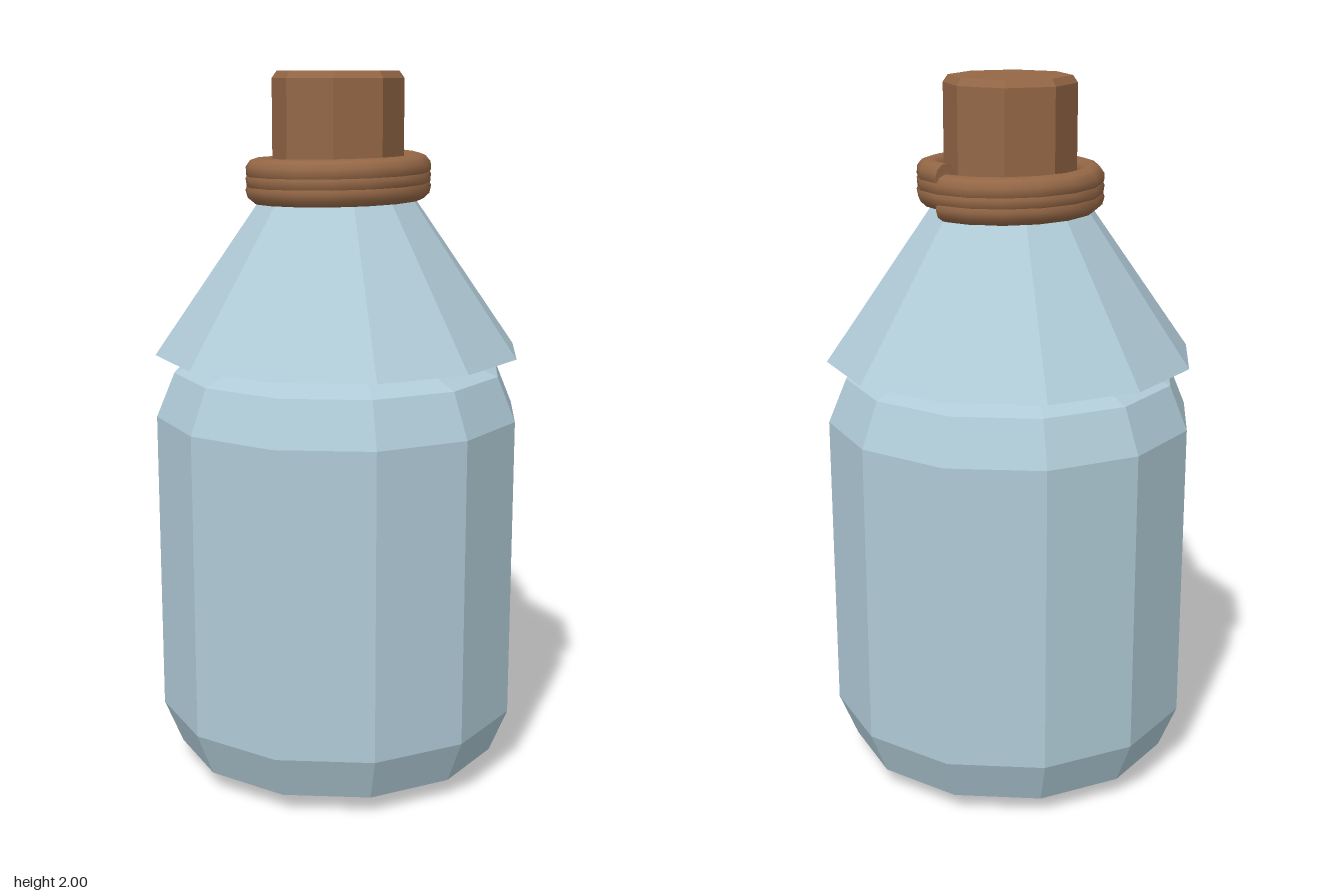
import * as THREE from 'three';

// Faceted solid of revolution from [radius, height] pairs
function facetedLathe(profile, sides) {
  const points = profile.map(([r, y]) => new THREE.Vector2(r, y));
  const geometry = new THREE.LatheGeometry(points, sides).toNonIndexed();
  geometry.computeVertexNormals();
  return geometry;
}

// Cord wound upwards around the neck
class Winding extends THREE.Curve {
  constructor(radius, bottom, top, turns) {
    super();
    Object.assign(this, { radius, bottom, top, turns });
  }
  getPoint(t, target = new THREE.Vector3()) {
    const a = t * this.turns * Math.PI * 2;
    return target.set(
      this.radius * Math.cos(a),
      THREE.MathUtils.lerp(this.bottom, this.top, t),
      -this.radius * Math.sin(a)
    );
  }
}

export function createModel() {
  const group = new THREE.Group();
  const glass = new THREE.MeshStandardMaterial({ color: 0xb0cbd7 });
  glass.name = 'paleBlueGlass';
  const brown = new THREE.MeshStandardMaterial({ color: 0x946746 });
  brown.name = 'brown';

  const add = (name, geometry, material) => {
    const mesh = new THREE.Mesh(geometry, material);
    mesh.name = name;
    group.add(mesh);
    return mesh;
  };

  // Bottle body with bevelled base and top
  add('body', facetedLathe([
    [0, 0], [0.34, 0], [0.47, 0.053], [0.522, 0.18],
    [0.522, 1.045], [0.47, 1.17], [0.34, 1.223], [0, 1.223],
  ], 12), glass);

  // Overhanging conical shoulder
  add('shoulder', facetedLathe([
    [0, 1.222], [0.522, 1.222], [0.19, 1.695], [0, 1.695],
  ], 12), glass);

  // Stopper with a small top bevel
  add('cork', facetedLathe([
    [0, 1.6], [0.184, 1.6], [0.184, 1.98], [0.17, 2], [0, 2],
  ], 8), brown);

  // Cord: three turns, closed at both ends
  const cordRadius = 0.036;
  const path = new Winding(0.225, 1.661, 1.745, 3);
  add('neckCord', new THREE.TubeGeometry(path, 48, cordRadius, 10), brown);
  for (const [name, t, sign] of [['cordStart', 0, -1], ['cordEnd', 1, 1]]) {
    const cap = add(name, new THREE.CircleGeometry(cordRadius, 10), brown);
    const end = path.getPoint(t);
    cap.position.copy(end);
    cap.lookAt(end.clone().addScaledVector(path.getTangent(t), sign));
  }

  return group;
}
